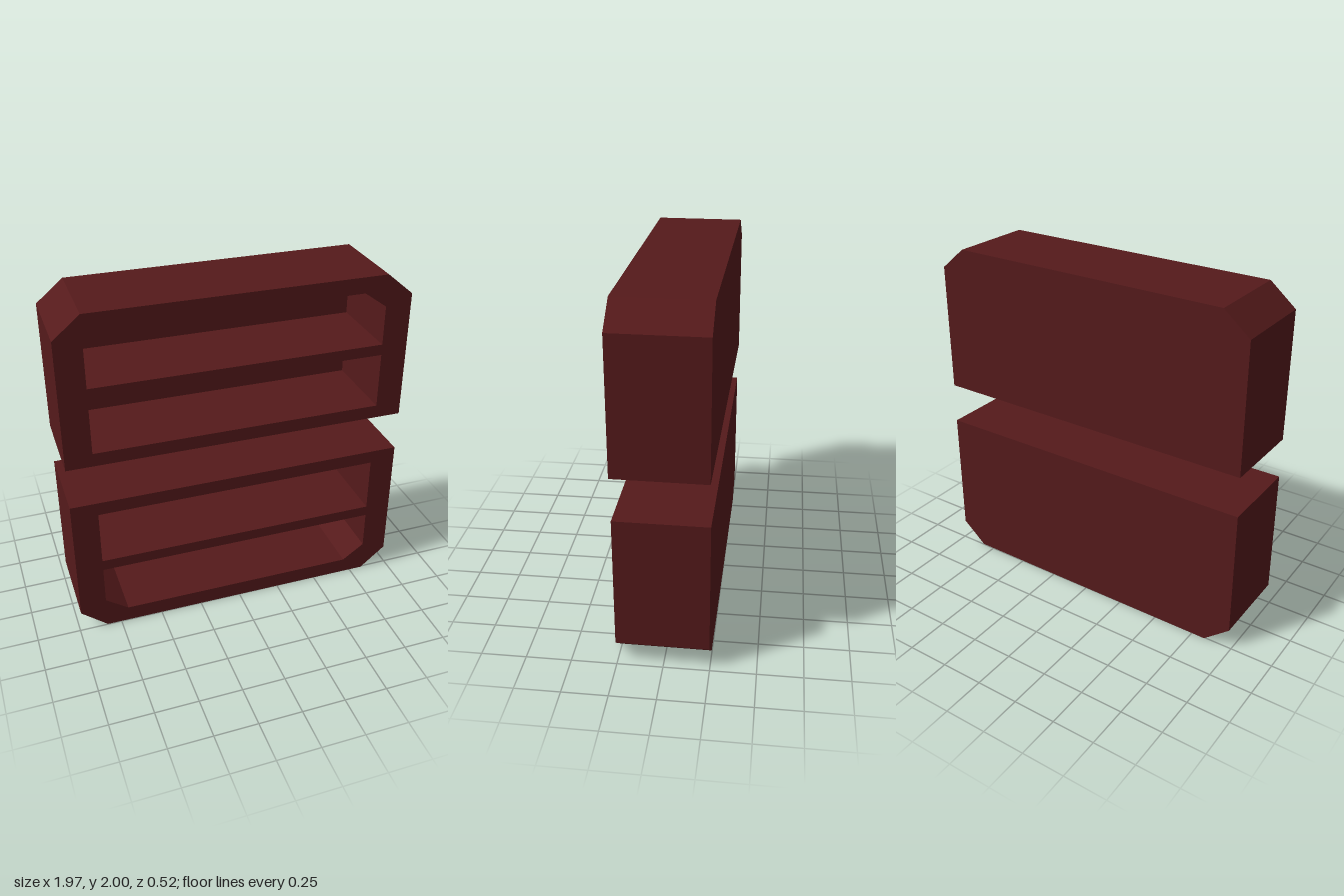
import * as THREE from 'three';

const HALF_DEPTH = 0.252, BACK = 0.03;

// Upright box outline whose two top corners are cut off; always counter-clockwise
function cutBox(w, y0, y1, cutX, cutY, flip, Kind = THREE.Shape) {
  const pts = [[-w, y0], [w, y0]];
  if (cutX) pts.push([w, y1 - cutY], [w - cutX, y1], [-w + cutX, y1], [-w, y1 - cutY]);
  else pts.push([w, y1], [-w, y1]);
  if (flip) pts.reverse();
  return new Kind(pts.map(([x, y]) => new THREE.Vector2(x, flip ? 2 - y : y)));
}

function extrude(shape, depth, z, material, name) {
  const geometry = new THREE.ExtrudeGeometry(shape, { depth, bevelEnabled: false });
  geometry.translate(0, 0, z);
  const mesh = new THREE.Mesh(geometry, material);
  mesh.name = name;
  return mesh;
}

// One block: a frame with two shelf pockets, closed by a thin back panel
function makeBlock(name, flip, turn, material) {
  const block = new THREE.Group();
  block.name = name;
  const outline = () => cutBox(0.984, 1.12, 2, 0.152, 0.127, flip);

  const frame = outline();
  frame.holes.push(
    cutBox(0.832, 1.587, 1.908, 0.13, 0.093, flip, THREE.Path),
    cutBox(0.832, 1.198, 1.523, 0, 0, flip, THREE.Path),
  );
  block.add(extrude(frame, 2 * HALF_DEPTH - BACK, BACK - HALF_DEPTH, material, 'shelfFrame'));
  block.add(extrude(outline(), BACK, -HALF_DEPTH, material, 'backPanel'));
  block.rotation.y = turn;
  return block;
}

export function createModel() {
  const darkRed = new THREE.MeshStandardMaterial({ color: 0x551a1b });
  darkRed.name = 'darkRed';

  const model = new THREE.Group();
  model.name = 'splitShelf';
  // The blocks mirror each other and are turned very slightly
  model.add(makeBlock('upperBlock', false, -0.0105, darkRed));
  model.add(makeBlock('lowerBlock', true, -0.005, darkRed));
  return model;
}
